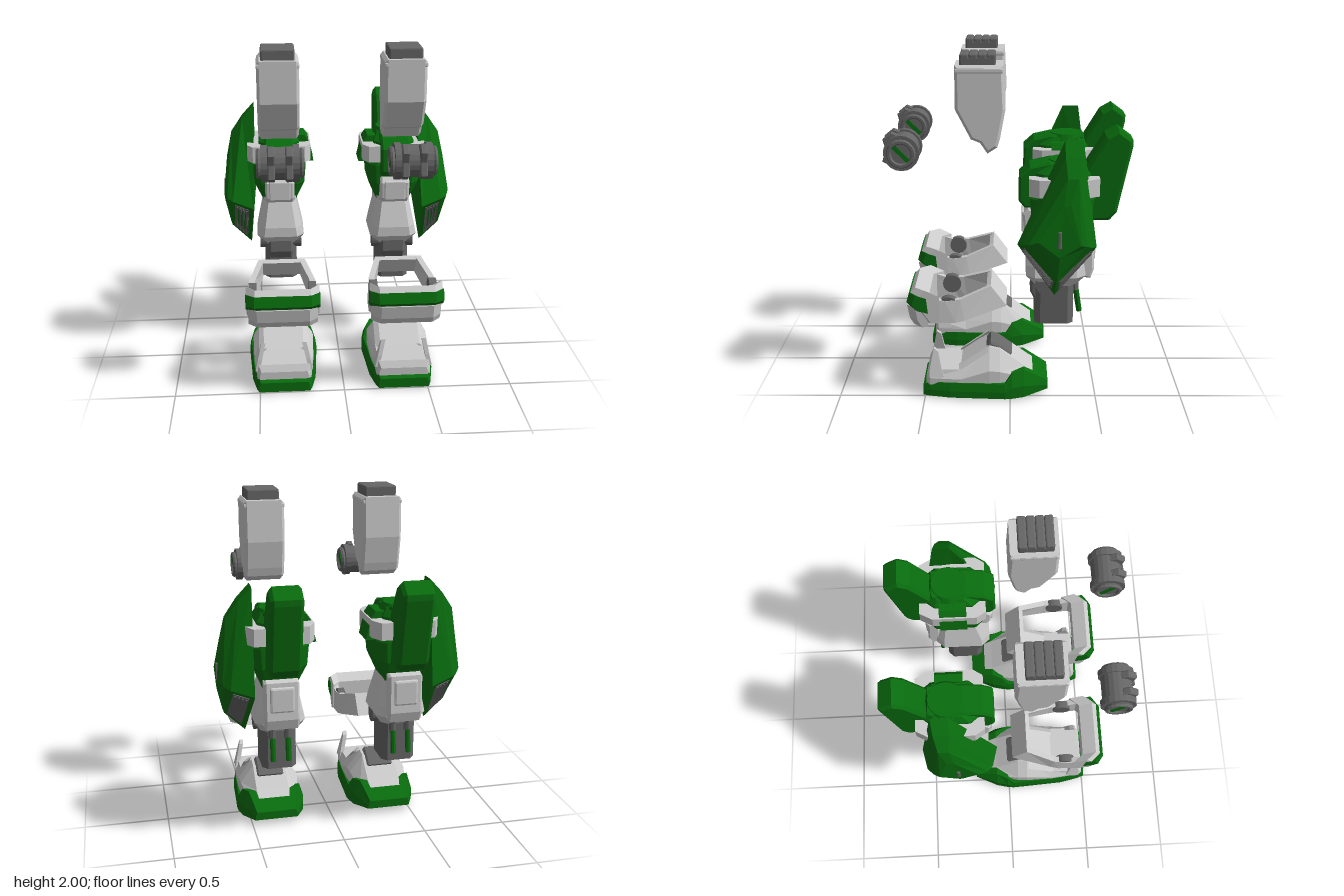
import * as THREE from 'three';
import { RoundedBoxGeometry } from 'three/addons/geometries/RoundedBoxGeometry.js';

const mat = (color) => new THREE.MeshStandardMaterial({ color, flatShading: true });
const GREY = mat(0xcccccc), DARK = mat(0x666666), GREEN = mat(0x096c0e), RED = mat(0xb01818);
const LEG_X = 0.355;

// Closed solid through rings of equal point count; winding is fixed by signed volume
function loft(rings) {
  const n = rings[0].length, tris = [];
  rings.slice(1).forEach((b, k) => {
    const a = rings[k];
    for (let i = 0; i < n; i++) {
      const j = (i + 1) % n;
      tris.push([a[i], a[j], b[j]], [a[i], b[j], b[i]]);
    }
  });
  const last = rings[rings.length - 1];
  for (let i = 1; i < n - 1; i++) {
    tris.push([rings[0][0], rings[0][i + 1], rings[0][i]], [last[0], last[i], last[i + 1]]);
  }
  const v = (p) => new THREE.Vector3(...p);
  const o = v(rings[0][0]);
  let vol = 0;
  for (const t of tris) vol += v(t[0]).sub(o).dot(v(t[1]).sub(o).cross(v(t[2]).sub(o)));
  if (vol < 0) tris.forEach((t) => t.reverse());
  const g = new THREE.BufferGeometry();
  g.setAttribute('position', new THREE.Float32BufferAttribute(tris.flat(2), 3));
  g.computeVertexNormals();
  return g;
}

// Side profile of [z, y] points extruded across x, with chamfered edges
function prism(profile, width, x = 0, bevel = 0.012) {
  const shape = new THREE.Shape(profile.map((p) => new THREE.Vector2(...p)));
  const g = new THREE.ExtrudeGeometry(shape, {
    depth: width - 2 * bevel, bevelEnabled: bevel > 0, bevelSize: bevel,
    bevelThickness: bevel, bevelOffset: -bevel, bevelSegments: 1,
  });
  return g.translate(0, 0, bevel - width / 2).rotateY(-Math.PI / 2).translate(x, 0, 0);
}

const box = (w, h, d, x, y, z, b = 0.012) => new RoundedBoxGeometry(w, h, d, 1, b).translate(x, y, z);
const tubeX = (r, len, x, y, z, sides = 20) =>
  new THREE.CylinderGeometry(r, r, len, sides).rotateZ(Math.PI / 2).translate(x, y, z);
const tubeY = (r0, r1, len, x, y, z, sides = 20) => new THREE.CylinderGeometry(r0, r1, len, sides).translate(x, y, z);

// Level ring: a chamfered rectangle at height y
function octRing(y, hw, z0, z1, c = 0.3) {
  const cx = hw * c, cz = Math.abs(z1 - z0) * c / 2;
  return [[hw - cx, z0], [hw, z0 - cz], [hw, z1 + cz], [hw - cx, z1], [cx - hw, z1], [-hw, z1 + cz], [-hw, z0 - cz], [cx - hw, z0]]
    .map(([x, z]) => [x, y, z]);
}
// Upright section at depth z: [z, bottom half width, top half width, bottom y, top y]
const section = ([z, b, t, y0, y1]) => [[-b, y0, z], [b, y0, z], [b, y0 + (y1 - y0) * 0.45, z], [t, y1, z], [-t, y1, z], [-b, y0 + (y1 - y0) * 0.45, z]];
// Front piece whose ends are swept back
const swept = (profile, hw, back) => loft([[-hw, back], [-hw + 0.05, 0], [hw - 0.05, 0], [hw, back]]
  .map(([x, dz]) => profile.map(([z, y]) => [x, y, z - dz])));

// Raised patch on the four-cornered face a-b-c-d, covering u0..u1 by v0..v1
function patch([a, b, c, d], u0, u1, v0, v1, rise) {
  const [A, B, C, D] = [a, b, c, d].map((p) => new THREE.Vector3(...p));
  const n = B.clone().sub(A).cross(D.clone().sub(A)).normalize();
  if (n.y > 0) n.negate();
  const at = (u, v, h) => A.clone().lerp(B, u).lerp(D.clone().lerp(C, u), v).addScaledVector(n, h).toArray();
  return loft([-0.02, rise].map((h) => [at(u0, v0, h), at(u1, v0, h), at(u1, v1, h), at(u0, v1, h)]));
}

// Parts of one leg, centred on x = 0 with +x outward
function legParts() {
  const parts = [];
  const add = (name, geometry, material, thigh = false) => parts.push({ name, geometry, material, thigh });
  const upper = (name, geometry, material) => add(name, geometry, material, true);

  // Foot
  add('sole', loft([[0.51, 0.15, 0.14, 0.01, 0.07], [0.47, 0.165, 0.155, 0.01, 0.095], [0.35, 0.19, 0.18, 0.01, 0.1],
    [0.03, 0.21, 0.2, 0.01, 0.1], [-0.01, 0.205, 0.18, 0.01, 0.16], [-0.08, 0.19, 0.15, 0.014, 0.17],
    [-0.22, 0.13, 0.12, 0.04, 0.09]].map(section)), GREEN);
  add('footShell', loft([[0.49, 0.145, 0.135, 0.08, 0.13], [0.47, 0.16, 0.15, 0.08, 0.17], [0.29, 0.18, 0.15, 0.08, 0.17],
    [0.12, 0.185, 0.1, 0.08, 0.295], [0.06, 0.18, 0.1, 0.08, 0.28], [-0.08, 0.15, 0.1, 0.08, 0.175],
    [-0.17, 0.11, 0.09, 0.08, 0.115]].map(section)), GREY);
  add('instepPad', prism([[0.14, 0.285], [0.115, 0.315], [0.07, 0.3], [-0.01, 0.24], [0, 0.22]], 0.17), DARK);
  const horn = [[0.472, 0.13], [0.465, 0.2], [0.445, 0.3], [0.42, 0.28], [0.405, 0.2], [0.385, 0.13]];
  for (const s of [-1, 1]) {
    // Horns lean inward towards the top
    add('footHorn', loft([0, 0.025].map((t) => horn.map(([z, y]) => [s * (0.17 - (y - 0.13) * 0.22 - t), y, z]))), GREY);
    add('instepRim', loft([[0.3, 0.16], [0.13, 0.28]].map(([z, y]) => [[s * 0.13, y, z], [s * 0.15, y, z],
      [s * 0.12, y + 0.025, z], [s * 0.1, y + 0.025, z]])), GREY);
  }
  for (const z of [0.14, 0.28]) {
    add('thrusterRing', tubeY(0.062, 0.054, 0.016, 0, 0.012, z), DARK);
    add('thrusterCore', tubeY(0.038, 0.038, 0.016, 0, 0.008, z), RED);
  }

  // Ankle guard: side arms, rear bar, swept front
  const arms = [[0.11, 0.69, 0.02, 0.57, 0.14], [0.28, 0.63, 0.26, 0.5, 0.195], [0.37, 0.62, 0.31, 0.49, 0.205],
    [0.455, 0.645, 0.45, 0.49, 0.21], [0.53, 0.67, 0.5, 0.5, 0.185]];
  for (const s of [-1, 1]) {
    add('guardArm', loft(arms.map(([zt, yt, zb, yb, x]) =>
      [[s * x, yt, zt], [s * x, yb, zb], [s * (x - 0.035), yb, zb], [s * (x - 0.035), yt, zt]])), GREY);
    add('guardPivot', tubeX(0.055, 0.045, s * 0.175, 0.588, 0.35), DARK);
  }
  add('guardRearBar', prism([[0.11, 0.69], [0.02, 0.57], [0.05, 0.56], [0.135, 0.675]], 0.28, 0, 0.004), GREY);
  add('guardFront', swept([[0.54, 0.688], [0.46, 0.65], [0.46, 0.5], [0.51, 0.49], [0.58, 0.59], [0.575, 0.65]], 0.21, 0.06), GREY);
  add('guardBand', swept([[0.572, 0.66], [0.592, 0.6], [0.56, 0.565], [0.5, 0.55], [0.51, 0.64]], 0.213, 0.035), GREEN);
  add('guardLip', swept([[0.59, 0.58], [0.575, 0.5], [0.55, 0.46], [0.52, 0.465], [0.5, 0.56]], 0.2, 0.05), GREY);

  // Ankle joint and pistons
  upper('ankleJoint', loft([octRing(0.44, 0.1, -0.14, -0.365), octRing(0.7, 0.1, -0.14, -0.365)]), DARK);
  upper('ankleFork', prism([[-0.12, 0.7], [-0.115, 0.63], [-0.145, 0.57], [-0.2, 0.57], [-0.2, 0.7]], 0.15), DARK);
  upper('ankleAxle', tubeX(0.055, 0.26, 0, 0.69, -0.2), DARK);
  for (const x of [-0.045, 0.045]) {
    upper('piston', tubeY(0.016, 0.016, 0.16, 0, 0, 0, 8).rotateX(0.15).translate(x, 0.58, -0.39), GREEN);
    upper('pistonSleeve', tubeY(0.022, 0.022, 0.09, x, 0.68, -0.375, 8), DARK);
  }

  // Shin and knee
  upper('shin', loft([octRing(0.68, 0.11, -0.14, -0.38), octRing(0.74, 0.147, -0.09, -0.43), octRing(0.8, 0.135, -0.09, -0.43),
    octRing(0.96, 0.102, -0.14, -0.4), octRing(1.1, 0.1, -0.14, -0.4)]), GREY);
  upper('shinRearPlate', prism([[-0.4, 0.73], [-0.46, 0.72], [-0.48, 0.78], [-0.47, 1.0], [-0.4, 1.02]], 0.2), GREY);
  upper('shinRearPanel', box(0.14, 0.15, 0.03, 0, 0.9, -0.472), GREY);
  upper('kneePlate', prism([[-0.1, 0.97], [-0.08, 1.0], [-0.07, 1.1], [-0.1, 1.135], [-0.2, 1.13], [-0.2, 0.97]], 0.18), GREY);
  upper('kneePanel', box(0.13, 0.12, 0.02, 0, 1.05, -0.075, 0.006), GREY);

  // Thigh drum, crossing straps and back armour
  upper('thighDrum', loft([octRing(0.93, 0.09, -0.17, -0.4), octRing(1.08, 0.155, -0.12, -0.46), octRing(1.2, 0.165, -0.11, -0.47),
    octRing(1.25, 0.125, -0.12, -0.47), octRing(1.34, 0.125, -0.14, -0.45), octRing(1.385, 0.1, -0.2, -0.42)]), GREEN);
  upper('frontStrap', prism([[-0.08, 1.14], [-0.047, 1.18], [-0.05, 1.32], [-0.11, 1.375], [-0.22, 1.4], [-0.42, 1.4], [-0.42, 1.14]], 0.18), GREEN);
  upper('hipCap', tubeY(0.1, 0.125, 0.05, 0, 1.38, -0.32), GREEN);
  upper('backArmour', prism([[-0.53, 1.545], [-0.6, 1.585], [-0.68, 1.525], [-0.68, 1.49], [-0.6, 1.11], [-0.56, 1.065],
    [-0.42, 1.06], [-0.4, 1.33]], 0.18, 0, 0.018), GREEN);
  for (const s of [-1, 1]) {
    upper('sideBar', loft([[-0.105, 0.16], [-0.16, 0.195], [-0.42, 0.195], [-0.495, 0.155]].map(([z, x]) =>
      [[s * 0.075, 1.225, z], [s * x, 1.225, z], [s * x, 1.325, z], [s * 0.075, 1.325, z]])), GREY);
  }
  upper('innerTab', loft([[1.2, -0.215], [1.33, -0.185], [1.365, -0.16]].map(([y, x]) =>
    [[x, y, -0.22], [x, y, -0.38], [-0.06, y, -0.38], [-0.06, y, -0.22]])), GREEN);

  // Outer kite-shaped shield: rings from inside to outside, each with top, rear, bottom and front corners
  const shield = [
    [[0.15, 1.54, -0.3], [0.15, 1.54, -0.4], [0.155, 0.93, -0.485], [0.185, 0.655, -0.25], [0.165, 0.95, -0.04]],
    [[0.225, 1.46, -0.3], [0.225, 1.46, -0.39], [0.285, 0.97, -0.455], [0.305, 0.77, -0.255], [0.29, 0.99, -0.07]],
    [[0.295, 1.36, -0.31], [0.295, 1.36, -0.37], [0.325, 0.99, -0.42], [0.315, 0.8, -0.26], [0.325, 1.0, -0.1]],
    [[0.325, 1.22, -0.29], [0.325, 1.22, -0.33], [0.345, 1.0, -0.385], [0.345, 0.93, -0.27], [0.345, 1.02, -0.155]],
  ];
  upper('sideShield', loft(shield), GREEN);
  upper('shieldStud', box(0.02, 0.1, 0.02, 0.337, 1.03, -0.27, 0.005), DARK);
  // Vents set in both lower shield edges
  const [inner, outer] = shield;
  for (const k of [4, 2]) {
    const face = [inner[k], inner[3], outer[3], outer[k]];
    upper('ventPanel', patch(face, 0.08, 0.92, 0.2, 0.88, 0.004), DARK);
    for (let i = 0; i < 4; i++) upper('ventSlat', patch(face, 0.12, 0.88, 0.26 + i * 0.155, 0.33 + i * 0.155, 0.009), DARK);
  }

  // Floating shell block with ribbed top
  add('shellBlock', prism([[0.3, 1.7], [0.3, 1.94], [0.035, 1.94], [0.025, 1.7], [0.055, 1.54], [0.07, 1.49], [0.125, 1.455],
    [0.165, 1.515], [0.215, 1.535]], 0.236, 0, 0.016), GREY);
  add('shellCollar', box(0.24, 0.025, 0.262, 0, 1.91, 0.168, 0.006), GREY);
  add('shellTop', box(0.19, 0.08, 0.19, 0, 1.945, 0.176, 0.01), DARK);
  for (let i = 0; i < 4; i++) add('shellRib', box(0.19, 0.08, 0.048, 0, 1.96, 0.102 + i * 0.049, 0.009), DARK);

  // Floating joint drum with clamps
  add('jointDrum', tubeX(0.088, 0.2, 0, 1.455, 0.6), DARK);
  for (const s of [-1, 1]) {
    add('jointCollar', tubeX(0.1, 0.035, s * 0.085, 1.455, 0.6), DARK);
    add('jointRim', new THREE.TorusGeometry(0.068, 0.014, 6, 20).rotateY(Math.PI / 2).translate(s * 0.115, 1.455, 0.6), DARK);
    add('jointHub', tubeX(0.065, 0.03, s * 0.1, 1.455, 0.6), DARK);
    add('jointStripe', new THREE.BoxGeometry(0.015, 0.025, 0.12).rotateX(-0.8).translate(s * 0.113, 1.455, 0.6), GREEN);
    add('jointClamp', prism([[0.62, 1.55], [0.655, 1.565], [0.705, 1.525], [0.69, 1.47], [0.71, 1.4], [0.65, 1.365], [0.62, 1.4]],
      0.04, s * 0.048, 0.006), DARK);
  }
  return parts;
}

// Mirror across x and restore the winding
function mirrored(geometry) {
  const g = geometry.index ? geometry.toNonIndexed() : geometry;
  const p = g.attributes.position, m = new Float32Array(p.count * 3);
  for (let i = 0; i < p.count; i++) {
    const k = i % 3 === 1 ? i + 1 : i % 3 === 2 ? i - 1 : i;
    m.set([-p.getX(k), p.getY(k), p.getZ(k)], i * 3);
  }
  const out = new THREE.BufferGeometry();
  out.setAttribute('position', new THREE.BufferAttribute(m, 3));
  out.computeVertexNormals();
  return out;
}

export function createModel() {
  const model = new THREE.Group();
  const parts = legParts();
  for (const side of [1, -1]) {
    const leg = new THREE.Group();
    leg.name = side > 0 ? 'leftLeg' : 'rightLeg';
    leg.position.x = side * LEG_X;
    for (const { name, geometry, material, thigh } of parts) {
      const mesh = new THREE.Mesh(side > 0 ? geometry : mirrored(geometry), material);
      mesh.name = name;
      if (side < 0 && thigh) mesh.position.z = -0.035; // right upper leg sits slightly further back
      leg.add(mesh);
    }
    model.add(leg);
  }
  return model;
}
